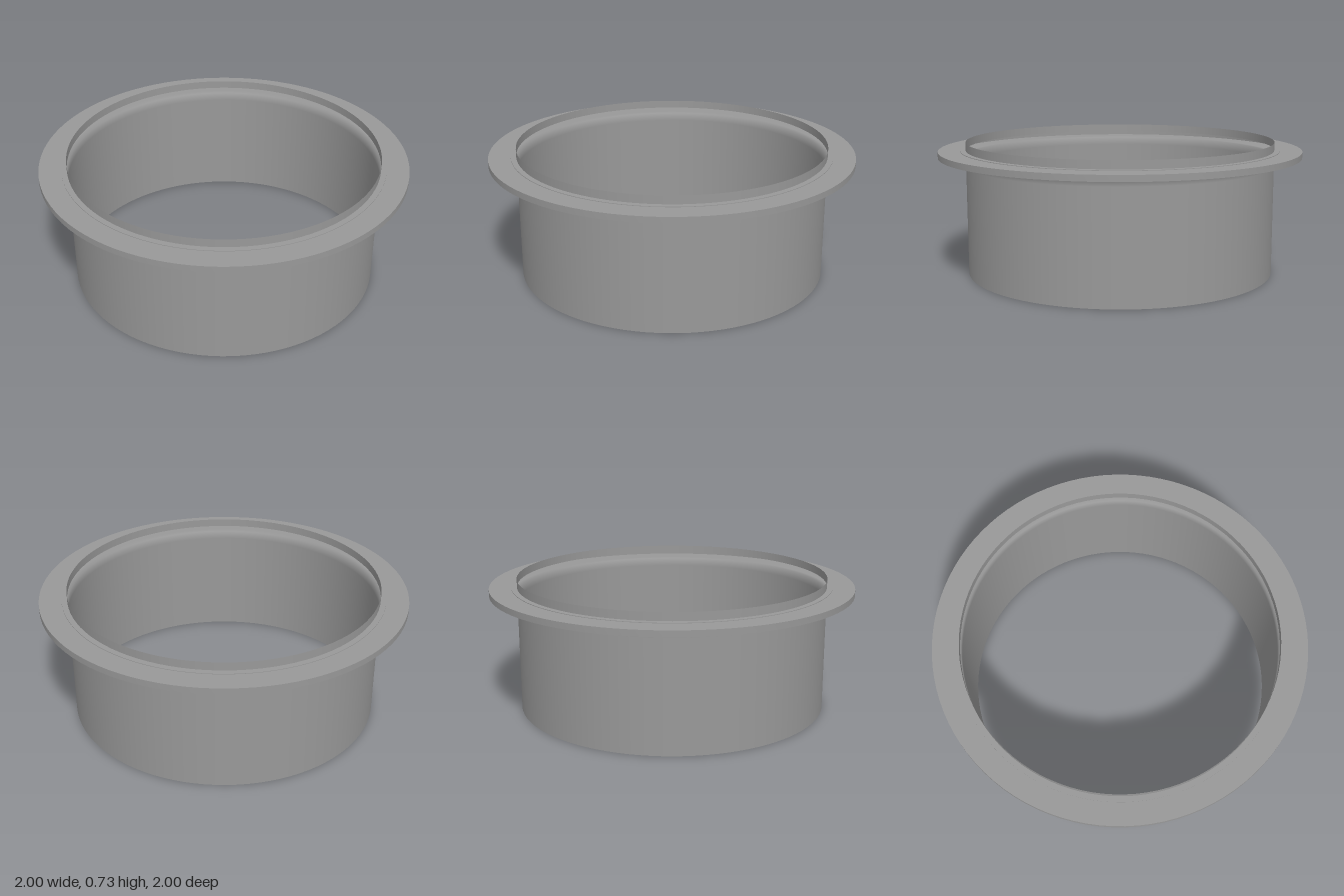
import * as THREE from 'three';
import { toCreasedNormals } from 'three/addons/utils/BufferGeometryUtils.js';

const SEGMENTS = 96;
const WALL = 0.85;          // tube radius
const STEP = 0.88;          // outer radius of the seat around the collar
const LOW = 0.647;          // flange underside
const HIGH = 0.68;          // flange top
const SEAT = 0.683;         // top of the seat
const RIM = 0.727;          // top of the collar

const material = new THREE.MeshStandardMaterial({ color: 0x999999, side: THREE.DoubleSide });

// Thin sheet turned around the y axis from [radius, height] pairs
function turned(profile) {
  return new THREE.LatheGeometry(profile.map(([r, y]) => new THREE.Vector2(r, y)), SEGMENTS);
}

export function createModel() {
  const model = new THREE.Group();
  model.name = 'flangedSleeve';

  function addPart(name, geometry) {
    const mesh = new THREE.Mesh(geometry, material);
    mesh.name = name;
    model.add(mesh);
  }

  // Open wall shaded softly into the underside of the flange
  addPart('sleeveWall', turned([[WALL, 0], [WALL, 0.6], [WALL, LOW], [STEP, LOW], [1, LOW]]));

  // Flange edge and top, with a slightly raised seat around the collar
  addPart('flange', toCreasedNormals(
    turned([[1, LOW], [1, HIGH], [STEP, HIGH], [STEP, SEAT], [WALL, SEAT]]), Math.PI / 6));

  // Short collar standing above the flange
  addPart('collar', turned([[WALL, SEAT], [WALL, RIM]]));

  return model;
}
